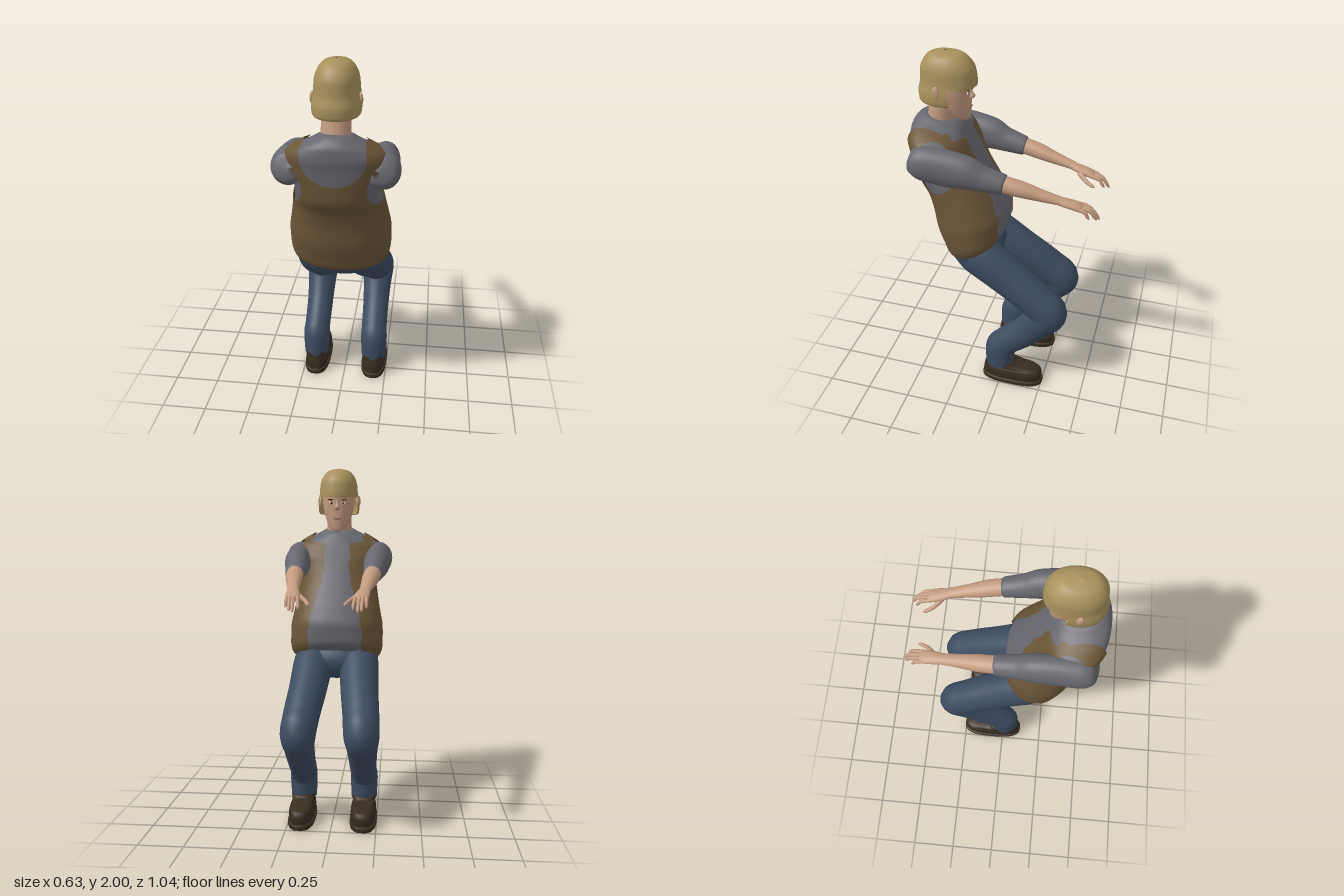
import * as THREE from 'three';

const mat = (name, color, side = THREE.FrontSide) => {
  const m = new THREE.MeshStandardMaterial({ color, side });
  m.name = name;
  return m;
};

// Smooth interpolation of numeric rows without overshoot
function rowAt(rows, u) {
  const n = rows.length - 1;
  const i = Math.min(Math.floor(u), n - 1), f = u - i;
  return rows[0].map((_, k) => {
    const v = (j) => rows[Math.max(0, Math.min(n, j))][k];
    const d = v(i + 1) - v(i);
    const slope = (a, b) => (a * b > 0 ? (2 * a * b) / (a + b) : 0);
    const m0 = i === 0 ? d : slope(v(i) - v(i - 1), d);
    const m1 = i === n - 1 ? d : slope(d, v(i + 2) - v(i + 1));
    const f2 = f * f, f3 = f2 * f;
    return v(i) * (2 * f3 - 3 * f2 + 1) + m0 * (f3 - 2 * f2 + f) + v(i + 1) * (3 * f2 - 2 * f3) + m1 * (f3 - f2);
  });
}

// Skin a closed surface over interpolated cross-sections
function sweep(rows, section, seg = 32, steps = 6) {
  const count = (rows.length - 1) * steps, pos = [], idx = [];
  for (let j = 0; j <= count; j++) {
    const u = j / steps;
    const row = rowAt(rows, u);
    const a = rowAt(rows, Math.max(0, u - 0.05)), b = rowAt(rows, Math.min(rows.length - 1, u + 0.05));
    const tangent = new THREE.Vector3(b[0] - a[0], b[1] - a[1], b[2] - a[2]).normalize();
    for (let i = 0; i < seg; i++) {
      pos.push(...section(row, (i / seg) * Math.PI * 2, tangent));
      if (j < count) {
        const p = j * seg + i, q = j * seg + ((i + 1) % seg);
        idx.push(p, q, p + seg, q, q + seg, p + seg);
      }
    }
  }
  const g = new THREE.BufferGeometry();
  g.setAttribute('position', new THREE.Float32BufferAttribute(pos, 3));
  g.setIndex(idx);
  g.computeVertexNormals();
  return g;
}

// Row: back z, back y, front z, front y, half width; pow < 1 is boxier
const ring = (pow = 1, cx = 0) => ([zb, yb, zf, yf, rx], t) => {
  const sq = (v) => Math.sign(v) * Math.abs(v) ** pow;
  const c = sq(Math.cos(t)) / 2, s = sq(Math.sin(t));
  return [cx + s * rx, (yb + yf) / 2 + c * (yb - yf), (zb + zf) / 2 + c * (zb - zf)];
};
// Row: centre x, y, z, half width, half thickness
const limb = ([x, y, z, rx, r], t, T) => {
  const c = Math.cos(t) * r, n = Math.hypot(T.y, T.z) || 1;
  return [x + Math.sin(t) * rx, y - (c * T.z) / n, z + (c * T.y) / n];
};

// Keep only the surface where field > 0, pushed outward by offset
function trim(geometry, field, offset = 0) {
  const g = geometry.toNonIndexed(), P = g.attributes.position, N = g.attributes.normal;
  const pos = [], nor = [];
  for (let i = 0; i < P.count; i += 3) {
    const poly = [0, 1, 2].map((k) => {
      const p = new THREE.Vector3().fromBufferAttribute(P, i + k);
      return { p, n: new THREE.Vector3().fromBufferAttribute(N, i + k), f: field(p) };
    });
    const out = [];
    poly.forEach((a, k) => {
      const b = poly[(k + 1) % 3];
      if (a.f > 0) out.push(a);
      if (a.f > 0 !== b.f > 0) {
        const w = a.f / (a.f - b.f);
        out.push({ p: a.p.clone().lerp(b.p, w), n: a.n.clone().lerp(b.n, w).normalize() });
      }
    });
    for (let k = 1; k + 1 < out.length; k++)
      for (const v of [out[0], out[k], out[k + 1]]) {
        pos.push(...v.p.clone().addScaledVector(v.n, offset).toArray());
        nor.push(...v.n.toArray());
      }
  }
  const r = new THREE.BufferGeometry();
  r.setAttribute('position', new THREE.Float32BufferAttribute(pos, 3));
  r.setAttribute('normal', new THREE.Float32BufferAttribute(nor, 3));
  return r;
}

export function createModel() {
  const root = new THREE.Group();
  root.name = 'crouchingMan';
  const skin = mat('skin', 0xc39b7f), hairMat = mat('hair', 0xa8915c, THREE.DoubleSide);
  const vestMat = mat('vestBrown', 0x6b5637, THREE.DoubleSide), shirt = mat('shirtGrey', 0x67676f, THREE.DoubleSide);
  const denim = mat('denim', 0x3d4c61, THREE.DoubleSide), leather = mat('shoeBrown', 0x382c20);
  const eyeWhite = mat('eyeWhite', 0xd8d2c8), dark = mat('darkBrown', 0x3a2a20), lip = mat('lip', 0xa06a5c);
  const add = (name, geometry, material) => {
    const m = new THREE.Mesh(geometry, material);
    m.name = name;
    root.add(m);
    return m;
  };
  const ball = (name, material, p, s, rx = 0, ry = 0) => {
    const m = add(name, new THREE.SphereGeometry(1, 24, 16), material);
    m.position.set(...p);
    m.scale.set(...s);
    m.rotation.set(rx, ry, 0);
  };

  // Torso: shirt body with an open vest over it
  const torso = sweep([
    [0.19, 0.92, 0.17, 0.93, 0.01], [0.31, 0.885, 0.04, 0.975, 0.238], [0.35, 0.96, 0.008, 1.03, 0.258],
    [0.385, 1.06, 0.006, 1.11, 0.257], [0.4, 1.15, 0.035, 1.19, 0.243], [0.43, 1.25, 0.08, 1.28, 0.226],
    [0.482, 1.34, 0.125, 1.37, 0.215], [0.496, 1.42, 0.16, 1.44, 0.225], [0.505, 1.5, 0.185, 1.49, 0.25],
    [0.515, 1.56, 0.21, 1.54, 0.245], [0.512, 1.61, 0.23, 1.575, 0.195], [0.487, 1.65, 0.25, 1.61, 0.12],
    [0.45, 1.668, 0.275, 1.635, 0.075], [0.37, 1.65, 0.35, 1.65, 0.01],
  ], ring(0.88), 72, 6);
  add('shirtBody', torso, shirt);
  const vestField = ({ x, y, z }) => {
    const ax = Math.abs(x);
    const front = THREE.MathUtils.lerp(0.15, 0.07, THREE.MathUtils.smoothstep(y, 1.05, 1.45)) + 0.004 * Math.sin(y * 60);
    const opening = z < 0.3 ? ax - front : 1;
    const neck = Math.hypot(ax / 0.155, (y - 1.57) / 0.14) - 1;
    const collar = y > 1.57 ? ax - 0.155 + (y - 1.57) * 0.7 : 1;
    const armhole = ax > 0.13 ? Math.hypot((z - 0.345) / 0.115, (y - 1.44) / 0.145) - 1 : 1;
    return Math.min(opening, z > 0.3 ? neck * 0.15 : 1, collar, armhole * 0.12, y < 0.95 && ax < 0.1 && z < 0.25 ? -1 : 1);
  };
  add('vest', trim(torso, vestField, 0.011), vestMat);

  // Trouser seat
  ball('trouserSeat', denim, [0, 0.915, 0.18], [0.244, 0.122, 0.155], -0.32);

  for (const s of [1, -1]) {
    const side = s > 0 ? 'left' : 'right';
    const at = (rows) => rows.map(([x, ...r]) => [x * s, ...r]);

    // Trouser leg
    add(side + 'TrouserLeg', sweep(at([
      [0.12, 0.94, 0.25, 0.09, 0.09], [0.133, 0.88, 0.14, 0.114, 0.122], [0.145, 0.765, -0.03, 0.107, 0.115],
      [0.163, 0.645, -0.2, 0.1, 0.107], [0.17, 0.57, -0.278, 0.097, 0.108], [0.172, 0.49, -0.225, 0.085, 0.098],
      [0.172, 0.38, -0.13, 0.077, 0.092], [0.173, 0.29, -0.03, 0.075, 0.088], [0.175, 0.24, 0.005, 0.078, 0.09],
      [0.175, 0.12, 0.012, 0.073, 0.085],
    ]), limb), denim);

    // Shoe upper and sole
    const level = (rows) => rows.map(([y, b, f, w]) => [b, y, f, y, w]);
    add(side + 'Shoe', sweep(level([
      [0.03, 0.105, -0.245, 0.066], [0.07, 0.108, -0.25, 0.072], [0.1, 0.104, -0.238, 0.066], [0.114, 0.1, -0.2, 0.058],
      [0.128, 0.096, -0.1, 0.066], [0.145, 0.09, -0.072, 0.064], [0.146, 0.02, 0, 0.005],
    ]), ring(0.72, 0.175 * s), 40, 4), leather);
    add(side + 'Sole', sweep(level([
      [0.004, 0.01, -0.01, 0.005], [0.004, 0.11, -0.248, 0.07], [0.016, 0.117, -0.257, 0.077],
      [0.032, 0.115, -0.255, 0.076], [0.038, 0.1, -0.24, 0.06],
    ]), ring(0.72, 0.175 * s), 40, 4), leather);

    // Sleeve, forearm and palm
    add(side + 'Sleeve', sweep(at([
      [0.2, 1.495, 0.475, 0.015, 0.015], [0.222, 1.49, 0.455, 0.07, 0.065], [0.234, 1.483, 0.39, 0.083, 0.095],
      [0.232, 1.468, 0.28, 0.076, 0.1], [0.228, 1.455, 0.17, 0.073, 0.092], [0.222, 1.43, 0.08, 0.063, 0.069],
      [0.214, 1.41, -0.03, 0.053, 0.051], [0.213, 1.409, -0.036, 0.046, 0.044],
    ]), limb), shirt);
    add(side + 'Forearm', sweep(at([
      [0.216, 1.415, 0, 0.047, 0.045], [0.208, 1.395, -0.1, 0.047, 0.043], [0.196, 1.367, -0.21, 0.037, 0.032],
      [0.186, 1.346, -0.3, 0.031, 0.022], [0.183, 1.342, -0.32, 0.031, 0.021],
    ]), limb, 24), skin);
    add(side + 'Palm', sweep(at([
      [0.184, 1.343, -0.305, 0.029, 0.019], [0.179, 1.333, -0.345, 0.035, 0.02], [0.174, 1.322, -0.39, 0.038, 0.02],
      [0.171, 1.31, -0.425, 0.036, 0.015], [0.17, 1.307, -0.434, 0.004, 0.003],
    ]), limb, 20), skin);

    // Fingers: knuckle x, tip x, tip y, tip z
    [[0.145, 0.135, 1.262, -0.495], [0.163, 0.16, 1.25, -0.52], [0.181, 0.178, 1.255, -0.508], [0.198, 0.2, 1.268, -0.472]]
      .forEach(([kx, tx, ty, tz], i) => {
        const mx = (kx + tx) / 2, mz = -0.415 + (tz + 0.415) * 0.6;
        add(side + 'Finger' + (i + 1), sweep(at([
          [kx, 1.317, -0.405, 0.0105, 0.011], [mx, 1.302, mz, 0.0095, 0.01],
          [tx, ty + 0.012, tz + 0.01, 0.008, 0.008], [tx, ty, tz, 0.002, 0.002],
        ]), limb, 12, 4), skin);
      });
    add(side + 'Thumb', sweep(at([
      [0.16, 1.325, -0.345, 0.014, 0.016], [0.132, 1.308, -0.375, 0.015, 0.014], [0.108, 1.294, -0.405, 0.012, 0.011],
      [0.095, 1.283, -0.435, 0.01, 0.009], [0.091, 1.278, -0.45, 0.002, 0.002],
    ]), limb, 12, 4), skin);

    // Ear and eye
    ball(side + 'Ear', skin, [0.113 * s, 1.815, 0.342], [0.012, 0.034, 0.02], 0.2, 0.35 * s);
    ball(side + 'Eye', eyeWhite, [0.035 * s, 1.798, 0.206], [0.014, 0.006, 0.005], 0, 0.4 * s);
    ball(side + 'Iris', dark, [0.034 * s, 1.798, 0.2025], [0.006, 0.006, 0.003], 0, 0.4 * s);
    ball(side + 'Brow', dark, [0.036 * s, 1.818, 0.203], [0.02, 0.004, 0.004], 0, 0.4 * s);
  }

  // Neck and head
  add('neck', sweep([[0, 1.58, 0.375, 0.08, 0.08], [0, 1.67, 0.362, 0.073, 0.07], [0, 1.78, 0.345, 0.07, 0.068]], limb, 32), skin);
  add('head', sweep([
    [0.26, 1.645, 0.235, 1.638, 0.008], [0.31, 1.66, 0.212, 1.645, 0.04], [0.36, 1.7, 0.205, 1.69, 0.065],
    [0.4, 1.75, 0.202, 1.74, 0.082], [0.42, 1.81, 0.2, 1.805, 0.092], [0.43, 1.87, 0.192, 1.87, 0.092],
    [0.4, 1.94, 0.23, 1.94, 0.07], [0.33, 1.96, 0.31, 1.96, 0.01],
  ], ring(0.95), 48), skin);
  add('nose', sweep([
    [0.215, 1.755, 0.195, 1.758, 0.006], [0.22, 1.765, 0.184, 1.764, 0.017], [0.22, 1.775, 0.178, 1.776, 0.015],
    [0.22, 1.795, 0.19, 1.795, 0.009], [0.21, 1.82, 0.197, 1.82, 0.005],
  ], ring(), 20, 4), skin);
  ball('mouth', lip, [0, 1.712, 0.205], [0.026, 0.007, 0.006]);

  // Bobbed hair with the face cut away below the fringe
  const bob = sweep([
    [0.4, 1.745, 0.36, 1.745, 0.02], [0.455, 1.737, 0.215, 1.737, 0.1], [0.47, 1.75, 0.2, 1.75, 0.117],
    [0.474, 1.79, 0.185, 1.79, 0.12], [0.462, 1.85, 0.167, 1.84, 0.112], [0.458, 1.91, 0.175, 1.91, 0.106],
    [0.435, 1.96, 0.205, 1.96, 0.086], [0.4, 1.988, 0.245, 1.988, 0.056], [0.335, 2, 0.32, 2, 0.006],
  ], ring(0.92), 64);
  add('hair', trim(bob, ({ y, z }) => Math.max(z - 0.283 - 0.2 * Math.max(0, y - 1.77), y - 1.832)), hairMat);
  return root;
}
